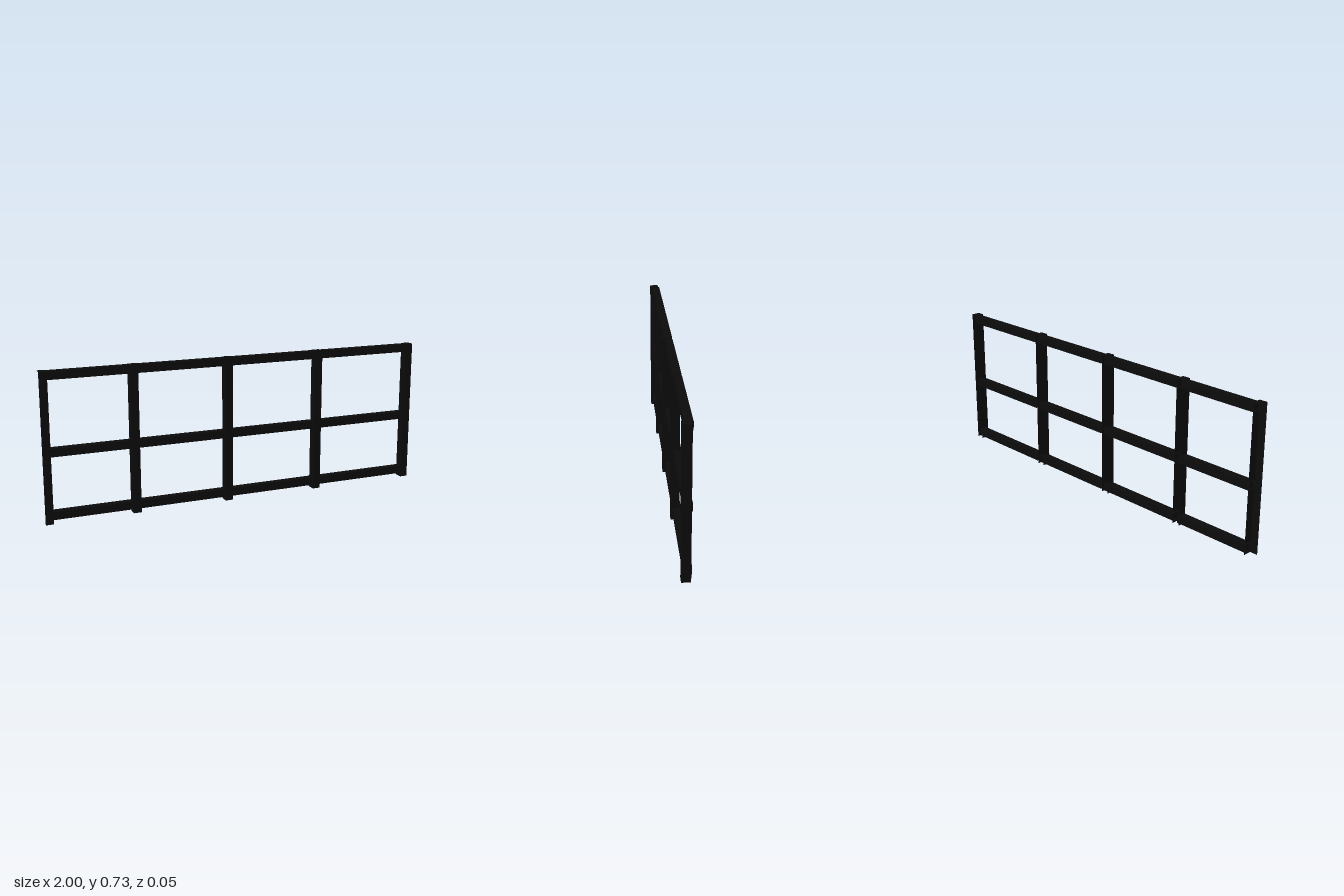
import * as THREE from 'three';

const material = new THREE.MeshStandardMaterial({ color: 0x0b0b0b, side: THREE.DoubleSide });

// Box that keeps only the listed sides (0 +x, 1 -x, 2 +y, 3 -y, 4 +z, 5 -z)
function openBox(name, [x0, x1], [y0, y1], [z0, z1], sides) {
  const geometry = new THREE.BoxGeometry(x1 - x0, y1 - y0, z1 - z0);
  const index = Array.from(geometry.index.array);
  geometry.setIndex(sides.flatMap((s) => index.slice(s * 6, s * 6 + 6)));
  geometry.clearGroups();
  geometry.translate((x0 + x1) / 2, (y0 + y1) / 2, (z0 + z1) / 2);
  const mesh = new THREE.Mesh(geometry, material);
  mesh.name = name;
  return mesh;
}

export function createModel() {
  const model = new THREE.Group();
  model.name = 'railing';

  // Upright posts: channels open at the back and the foot
  const postX = [-0.98, -0.547, -0.06, 0.438, 0.98];
  postX.forEach((x, i) => {
    const sides = i === 0 ? [0, 2, 4] : [0, 1, 2, 4];
    model.add(openBox('post', [x - 0.02, x + 0.02], [0, 0.733], [-0.018, 0.025], sides));
  });

  // Three rails, split into bays that end inside the posts
  const bays = [[-0.97, -0.563], [-0.537, -0.063], [-0.04, 0.435], [0.458, 0.966]];
  const rails = [['bottomRail', 0.037], ['middleRail', 0.344], ['topRail', 0.71]];
  for (const [name, y] of rails) {
    const rail = new THREE.Group();
    rail.name = name;
    for (const bay of bays) {
      rail.add(openBox('railBay', bay, [y - 0.02, y + 0.02], [-0.025, 0.014], [2, 3, 4, 5]));
    }
    model.add(rail);
  }
  return model;
}
